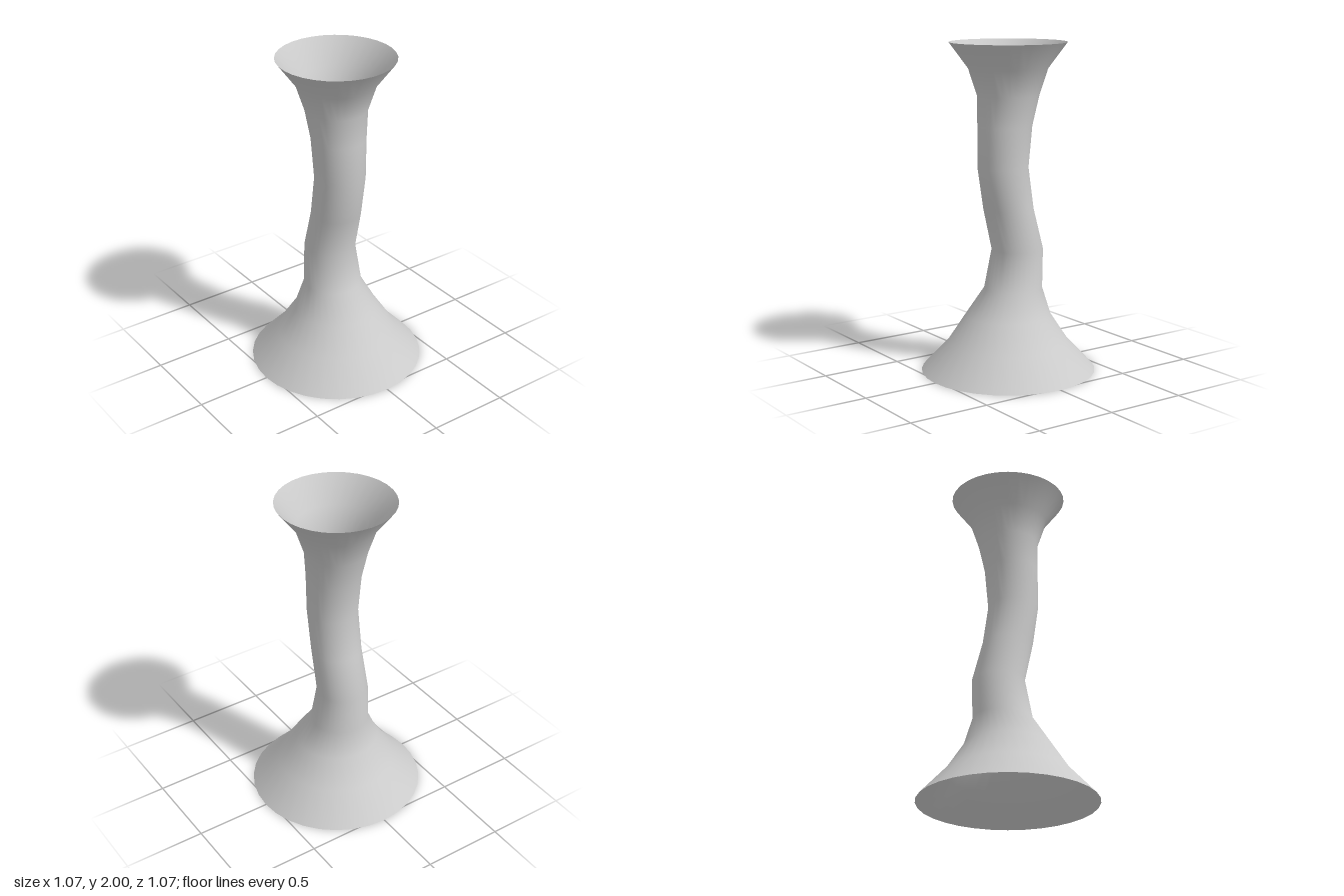
import * as THREE from 'three';
import { mergeVertices } from 'three/addons/utils/BufferGeometryUtils.js';

// Rings from bottom to top: height, radius, sideways shift of the centre
const RINGS = [
  [0, 0.533, 0],
  [0.175, 0.37, 0],
  [0.343, 0.26, 0],
  [0.505, 0.178, -0.037],
  [0.745, 0.157, -0.068],
  [1.0, 0.152, -0.002],
  [1.255, 0.153, 0.038],
  [1.505, 0.164, 0.024],
  [1.685, 0.186, 0],
  [1.845, 0.238, 0],
  [2.0, 0.353, 0],
];

export function createModel() {
  const group = new THREE.Group();
  group.name = 'flaredStand';

  // Turned profile whose rings are then slid sideways into an S-bend
  const profile = RINGS.map(([y, r]) => new THREE.Vector2(r, y));
  let geometry = new THREE.LatheGeometry(profile, 32);
  const position = geometry.attributes.position;
  for (let i = 0; i < position.count; i++) {
    position.setX(i, position.getX(i) + RINGS[i % RINGS.length][2]);
  }

  // Weld the seam so the shading is smooth all round
  geometry.deleteAttribute('uv');
  geometry.deleteAttribute('normal');
  geometry = mergeVertices(geometry);
  geometry.computeVertexNormals();

  // Thin open shell, hollow from the wide foot to the flared mouth
  const shell = new THREE.Mesh(
    geometry,
    new THREE.MeshStandardMaterial({ color: 0xcccccc, side: THREE.DoubleSide })
  );
  shell.name = 'curvedShell';
  group.add(shell);
  return group;
}
